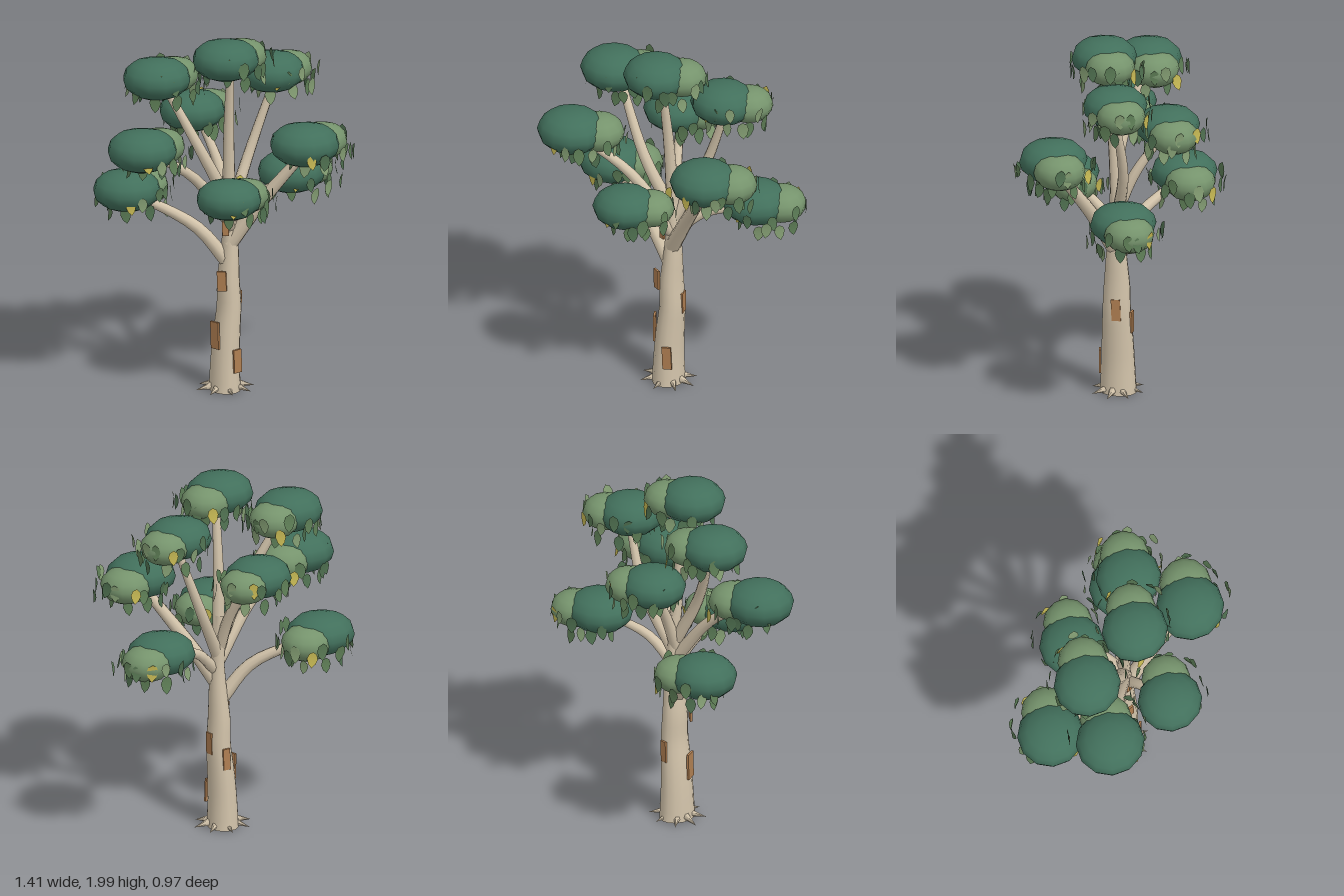
import * as THREE from 'three';

const V = (x, y, z) => new THREE.Vector3(x, y, z);
const mat = (color, side = THREE.FrontSide) => new THREE.MeshStandardMaterial({ color, side });

const MATS = {
  bark: mat(0xd2c3aa),
  patch: mat(0xb07f52),
  dark: mat(0x42705c),
  light: mat(0x76946d),
  leaves: [0x5f7f57, 0x4f7050, 0x86a075, 0x5a7a55].map(c => mat(c, THREE.DoubleSide)),
  yellow: mat(0xc9bb55, THREE.DoubleSide),
};

// Small seeded generator
function seeded(seed) {
  let s = seed;
  return () => (s = (s * 16807) % 2147483647) / 2147483647;
}

function mesh(name, geometry, material, parent) {
  const m = new THREE.Mesh(geometry, material);
  m.name = name;
  parent.add(m);
  return m;
}

// Tapered tube: each ring of a tube is rescaled around its curve point
function limb(points, radii, rings, sides) {
  const curve = new THREE.CatmullRomCurve3(points);
  const geo = new THREE.TubeGeometry(curve, rings, 1, sides);
  const pos = geo.attributes.position;
  const p = V(0, 0, 0);
  for (let i = 0; i <= rings; i++) {
    const t = i / rings, c = curve.getPointAt(t);
    const f = t * (radii.length - 1), k = Math.min(Math.floor(f), radii.length - 2);
    const r = THREE.MathUtils.lerp(radii[k], radii[k + 1], f - k);
    for (let j = 0; j <= sides; j++) {
      const n = i * (sides + 1) + j;
      p.fromBufferAttribute(pos, n).sub(c).multiplyScalar(r).add(c);
      pos.setXYZ(n, p.x, p.y, p.z);
    }
  }
  geo.computeVertexNormals();
  // Match the normals along the seam
  const nor = geo.attributes.normal;
  for (let i = 0; i <= rings; i++) {
    const a = i * (sides + 1), b = a + sides;
    const n = V(0, 0, 0).fromBufferAttribute(nor, a).add(p.fromBufferAttribute(nor, b)).normalize();
    nor.setXYZ(a, n.x, n.y, n.z);
    nor.setXYZ(b, n.x, n.y, n.z);
  }
  return geo;
}

// Flat-topped foliage ball
function puffGeometry() {
  const geo = new THREE.SphereGeometry(1, 12, 8);
  const pos = geo.attributes.position;
  for (let i = 0; i < pos.count; i++) pos.setY(i, Math.min(pos.getY(i), 0.85));
  return geo;
}

// Pointed leaf, folded slightly along its middle
function leafGeometry() {
  const shape = new THREE.Shape([
    [0, -0.052], [0.02, -0.03], [0.03, 0], [0.022, 0.028], [0, 0.044],
    [-0.022, 0.028], [-0.03, 0], [-0.02, -0.03],
  ].map(([x, y]) => new THREE.Vector2(x, y)));
  const geo = new THREE.ShapeGeometry(shape);
  const pos = geo.attributes.position;
  for (let i = 0; i < pos.count; i++) pos.setZ(i, -0.25 * Math.abs(pos.getX(i)));
  geo.computeVertexNormals();
  return geo;
}

// Foliage clusters: centre, size, then the branch start and its bend
const CLUSTERS = [
  { c: [-0.48, 1.12, -0.20], s: 0.185, from: [0.03, 0.72, 0], via: [-0.14, 0.93, -0.04], r: 0.04 },
  { c: [-0.10, 1.52, -0.25], s: 0.180, from: [0.03, 1.02, 0], via: [0.0, 1.26, -0.10], r: 0.035 },
  { c: [0.44, 1.14, -0.20], s: 0.185, from: [0.04, 0.90, 0], via: [0.19, 1.05, -0.07], r: 0.032 },
  { c: [0.30, 1.75, -0.10], s: 0.180, from: [0.04, 1.00, -0.01], via: [0.18, 1.32, -0.10], r: 0.035 },
  { c: [-0.36, 1.79, -0.04], s: 0.185, from: [0.02, 1.08, 0], via: [-0.12, 1.35, 0.03], r: 0.036 },
  { c: [-0.01, 1.90, 0.08], s: 0.182, from: [0.035, 1.10, -0.01], via: [0.025, 1.5, 0.02], r: 0.036 },
  { c: [-0.50, 1.46, 0.16], s: 0.190, from: [0.03, 0.96, 0], via: [-0.19, 1.25, 0.07], r: 0.036 },
  { c: [-0.06, 1.19, 0.31], s: 0.178, from: [0.035, 0.92, 0], via: [0.0, 1.06, 0.12], r: 0.034 },
  { c: [0.39, 1.43, 0.22], s: 0.190, from: [0.035, 0.83, 0], via: [0.19, 1.08, 0.08], r: 0.044 },
];

export function createModel() {
  const tree = new THREE.Group();
  tree.name = 'tree';

  // Trunk, slightly swaying and deeper than wide
  const trunk = mesh('trunk', limb(
    [V(0.01, 0.01, 0), V(0.012, 0.18, 0), V(0.022, 0.34, 0), V(0.034, 0.48, 0), V(0.03, 0.62, 0),
      V(0.038, 0.8, 0), V(0.038, 1.0, 0), V(0.03, 1.23, 0)],
    [0.085, 0.078, 0.073, 0.066, 0.061, 0.05, 0.038, 0.034, 0.03], 24, 14), MATS.bark, tree);
  trunk.scale.z = 1.2;
  trunk.position.z = -0.008;

  // Root spikes around the foot
  const roots = new THREE.Group();
  roots.name = 'roots';
  tree.add(roots);
  for (let i = 0; i < 8; i++) {
    const a = i * Math.PI / 4;
    const root = mesh('root', new THREE.ConeGeometry(0.028, 0.12, 6), MATS.bark, roots);
    const dir = V(Math.cos(a), -0.22, Math.sin(a)).normalize();
    root.quaternion.setFromUnitVectors(V(0, 1, 0), dir);
    root.position.set(0.01 + 0.105 * Math.cos(a), 0.03, -0.005 + 0.09 * Math.sin(a));
  }

  // Peeling bark patches: position, width, height, facing angle
  const patches = [
    [-0.025, 0.64, 0.055, 0.05, 0.11, -0.5], [-0.055, 0.33, 0.03, 0.06, 0.15, -1.1],
    [0.055, 0.19, 0.08, 0.05, 0.13, 0.35], [0.0, 0.93, 0.04, 0.035, 0.08, -0.4],
    [0.092, 0.5, -0.025, 0.05, 0.12, 1.8], [0.02, 0.42, -0.09, 0.04, 0.12, 3.2],
  ];
  for (const [x, y, z, w, h, turn] of patches) {
    const patch = mesh('barkPatch', new THREE.BoxGeometry(w, h, 0.012), MATS.patch, tree);
    patch.position.set(x, y, z);
    patch.rotation.set(0, turn, 0.04);
  }

  const puff = puffGeometry();
  const leaf = leafGeometry();
  const rand = seeded(4271);

  for (const { c, s, from, via, r } of CLUSTERS) {
    const [x, y, z] = c;
    mesh('branch', limb([V(...from), V(...via), V(x + 0.15 * s, y - 0.02, z)],
      [r, r * 0.8, r * 0.55], 10, 9), MATS.bark, tree);

    const cluster = new THREE.Group();
    cluster.name = 'foliageCluster';
    cluster.position.set(x, y, z);
    tree.add(cluster);

    // Large dark crown with a lighter one on its side
    const crown = mesh('darkCrown', puff, MATS.dark, cluster);
    crown.scale.set(s, 0.62 * s, 0.97 * s);
    const side = mesh('lightCrown', puff, MATS.light, cluster);
    side.scale.set(0.74 * s, 0.53 * s, 0.74 * s);
    side.position.set(0.62 * s, -0.07 * s, -0.42 * s);

    // Hanging leaves in a ring, every third one tucked underneath
    const count = 24;
    for (let i = 0; i < count; i++) {
      const a = (i + 0.6 * rand()) / count * Math.PI * 2;
      const under = i % 3 === 2;
      const d = s * (under ? 0.75 + 0.2 * rand() : 1.02 + 0.18 * rand());
      const material = i % 12 === 7 ? MATS.yellow : MATS.leaves[Math.floor(rand() * 4)];
      const l = mesh('leaf', leaf, material, cluster);
      l.position.set(0.33 * s + d * Math.cos(a),
        under ? -0.085 - 0.03 * rand() : -0.07 + 0.09 * rand(), -0.2 * s + d * Math.sin(a));
      l.rotation.order = 'YXZ';
      l.rotation.set(0.3 * (rand() - 0.5), Math.PI / 2 - a + 0.5 * (rand() - 0.5), 0.4 * (rand() - 0.5));
      l.scale.setScalar(0.85 + 0.25 * rand());
    }
  }
  return tree;
}
